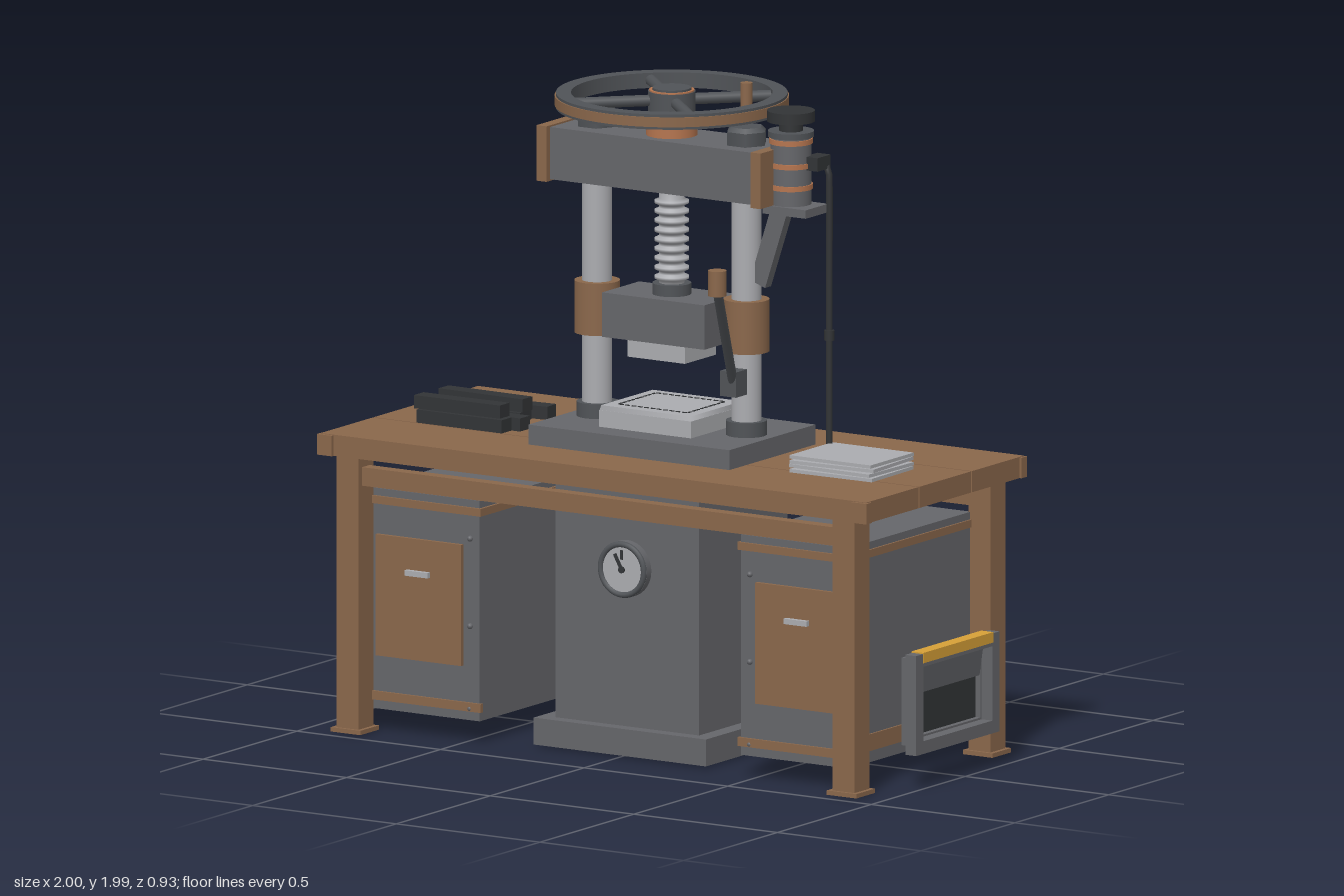
import * as THREE from 'three';

const mat = (name, color) => Object.assign(new THREE.MeshStandardMaterial({ color }), { name });
const CZ = 0.033; // depth of the press axis

export function createModel() {
  const wood = mat('wood', 0x8a674b), iron = mat('iron', 0x65666a), darkIron = mat('darkIron', 0x505357),
    steel = mat('steel', 0xabacb0), black = mat('black', 0x323436), copper = mat('copper', 0xb5754f),
    green = mat('green', 0x5fac66), yellow = mat('yellow', 0xd6a037);
  const root = new THREE.Group();
  root.name = 'workbenchPress';

  const add = (name, geo, m, parent = root) => {
    const mesh = new THREE.Mesh(geo, m);
    mesh.name = name;
    parent.add(mesh);
    return mesh;
  };
  const box = (name, m, x0, x1, y0, y1, z0, z1, parent) => {
    const b = add(name, new THREE.BoxGeometry(x1 - x0, y1 - y0, z1 - z0), m, parent);
    b.position.set((x0 + x1) / 2, (y0 + y1) / 2, (z0 + z1) / 2);
    return b;
  };
  const cyl = (name, m, r, x, y0, y1, z = CZ, sides = 28, rTop = r) => {
    const c = add(name, new THREE.CylinderGeometry(rTop, r, y1 - y0, sides), m);
    c.position.set(x, (y0 + y1) / 2, z);
    return c;
  };
  const rod = (name, m, a, b, r) =>
    add(name, new THREE.TubeGeometry(new THREE.LineCurve3(new THREE.Vector3(...a), new THREE.Vector3(...b)), 1, r, 12), m);

  // Table top: three planks with narrow seams, and corner caps
  [[-0.39, -0.113], [-0.107, 0.167], [0.173, 0.45]].forEach(([a, b]) =>
    box('tablePlank', wood, -0.95, 0.95, 0.82, 0.883, a, b));
  for (const s of [-1, 1]) {
    const side = (name, m, a, b, ...r) => box(name, m, Math.min(s * a, s * b), Math.max(s * a, s * b), ...r);
    for (const [z0, z1] of [[0.43, 0.46], [-0.396, -0.366]]) side('cornerCap', wood, 0.905, 0.957, 0.82, 0.881, z0, z1);

    // Legs with foot plates
    for (const z of [0.4, -0.325]) {
      side('leg', wood, 0.825, 0.902, 0.01, 0.82, z - 0.04, z + 0.04);
      side('footPlate', wood, 0.812, 0.915, 0, 0.013, z - 0.05, z + 0.05);
    }

    // Cabinet with trims, door, handle and rivets
    side('cabinet', iron, 0.455, 0.83, 0.065, 0.72, -0.29, 0.36);
    side('cabinetTopTrim', wood, 0.447, 0.836, 0.675, 0.698, -0.294, 0.368);
    side('cabinetFrontTrim', wood, 0.447, 0.836, 0.092, 0.118, 0.355, 0.368);
    side('cabinetSideTrim', wood, 0.825, 0.836, 0.1, 0.15, -0.29, 0.36);
    side('cabinetDoor', wood, 0.512, 0.81, 0.225, 0.585, 0.36, 0.372);
    side('doorHandle', steel, 0.62, 0.7, 0.476, 0.492, 0.37, 0.387);
    for (const y of [0.1, 0.345, 0.605]) {
      const rivet = add('rivet', new THREE.SphereGeometry(0.009, 10, 6), iron);
      rivet.position.set(s * 0.487, y, 0.362);
    }
  }
  for (const z of [0.4, -0.325]) box('apronRail', wood, -0.825, 0.825, 0.735, 0.79, z - 0.02, z + 0.02);

  // Pedestal below the table
  box('pedestalBase', iron, -0.3, 0.3, 0.005, 0.085, -0.245, 0.31);
  box('pedestal', iron, -0.25, 0.25, 0.085, 0.79, -0.2, 0.27);
  box('pedestalCap', wood, -0.268, 0.268, 0.79, 0.82, -0.213, 0.285);

  // Pressure gauge
  const gauge = new THREE.Group();
  gauge.name = 'gauge';
  gauge.position.set(0, 0.555, 0.27);
  root.add(gauge);
  const disc = (name, m, r, z0, z1) => {
    const d = add(name, new THREE.CylinderGeometry(r, r, z1 - z0, 32).rotateX(Math.PI / 2), m, gauge);
    d.position.z = (z0 + z1) / 2;
  };
  disc('gaugeBody', iron, 0.084, 0, 0.024);
  add('gaugeRim', new THREE.TorusGeometry(0.075, 0.009, 10, 36), darkIron, gauge).position.z = 0.026;
  disc('gaugeFace', steel, 0.068, 0.02, 0.028);
  disc('gaugePin', black, 0.01, 0.026, 0.034);
  const hand = box('gaugeHand', black, -0.005, 0.005, -0.005, 0.052, 0.028, 0.032, gauge);
  hand.rotation.z = 0.5;
  hand.position.set(-0.011, 0.02, 0.03);
  box('gaugeTick', black, -0.006, 0.004, 0.03, 0.058, 0.028, 0.031, gauge);

  // Wall bins: open frame, tray behind it, sloped flap and coloured strip
  const frameGeo = (w, y0, y1, t, depth) => {
    const rect = (C, a, b, c) => new C([[-a, b], [a, b], [a, c], [-a, c]].map(p => new THREE.Vector2(...p)));
    const shape = rect(THREE.Shape, w, y0, y1);
    shape.holes.push(rect(THREE.Path, w - t, y0 + t, y1 - t));
    return new THREE.ExtrudeGeometry(shape, { depth, bevelEnabled: false });
  };
  const bin = (x, z, turn, strip, tray) => {
    const g = new THREE.Group();
    g.name = 'bin';
    g.position.set(x, 0, z);
    g.rotation.y = turn;
    root.add(g);
    add('binFrame', frameGeo(0.222, 0.103, 0.4, 0.038, 0.038), iron, g).position.z = -0.038;
    add('binTray', frameGeo(0.2, 0.125, 0.385, 0.022, tray), iron, g).position.z = -0.038 - tray;
    box('binBack', black, -0.18, 0.18, 0.145, 0.365, -0.036 - tray, -0.028 - tray, g);
    const flap = box('binFlap', iron, -0.168, 0.168, 0.275, 0.362, -0.034, -0.028, g);
    flap.rotation.x = 0.15;
    box('binStrip', strip, -0.186, 0.186, 0.373, 0.404, -0.04, 0.002, g);
  };
  bin(0.998, 0.036, Math.PI / 2, yellow, 0.027);
  bin(-0.998, 0.036, -Math.PI / 2, green, 0.027);
  bin(0.498, -0.468, Math.PI, green, 0.065);

  // Press bed with a dashed border on top
  box('pressBase', iron, -0.35, 0.35, 0.883, 0.942, -0.197, 0.262);
  box('bedBlock', steel, -0.16, 0.16, 0.942, 0.992, -0.107, 0.175);
  const bevel = add('bedBevel', new THREE.CylinderGeometry(0.98 * Math.SQRT1_2, Math.SQRT1_2, 0.014, 4).rotateY(Math.PI / 4), steel);
  bevel.scale.set(0.318, 1, 0.28);
  bevel.position.set(0, 0.999, 0.034);
  for (let i = -5; i <= 5; i++) for (const s of [-1, 1]) {
    box('bedDashLong', black, i * 0.022 - 0.007, i * 0.022 + 0.007, 1.004, 1.008, 0.034 + s * 0.1 - 0.003, 0.034 + s * 0.1 + 0.003);
    if (Math.abs(i) < 5) box('bedDashShort', black, s * 0.12 - 0.003, s * 0.12 + 0.003, 1.004, 1.008, 0.027 + i * 0.022, 0.041 + i * 0.022);
  }

  // Columns, sleeves, nuts and upper beam
  for (const s of [-1, 1]) {
    const x = s * 0.26;
    cyl('column', steel, 0.044, x, 0.94, 1.66);
    cyl('columnCollar', darkIron, 0.06, x, 0.942, 0.985);
    cyl('columnSleeve', wood, 0.067, x, 1.19, 1.345);
    cyl('columnNut', darkIron, 0.063, x, 1.8, 1.845, CZ, 6).geometry.rotateY(Math.PI / 6);
    cyl('columnNutTop', darkIron, 0.063, x, 1.845, 1.858, CZ, 6, 0.05).geometry.rotateY(Math.PI / 6);
    box('beamEnd', wood, s * 0.3725 - 0.0175, s * 0.3725 + 0.0175, 1.645, 1.81, -0.088, 0.157);
  }
  box('upperBeam', iron, -0.356, 0.356, 1.65, 1.805, -0.07, 0.138);

  // Ram and threaded screw
  box('ram', iron, -0.178, 0.178, 1.2, 1.332, -0.065, 0.132);
  box('ramPlate', steel, -0.1, 0.1, 1.147, 1.2, -0.05, 0.116);
  cyl('screwCollar', darkIron, 0.057, 0, 1.332, 1.365);
  const thread = [new THREE.Vector2(0.037, 1.36)];
  for (let i = 0; i < 9; i++) {
    const y = 1.372 + i * 0.028;
    thread.push(...[[0.037, 0], [0.051, 0.006], [0.051, 0.014], [0.037, 0.02]].map(([r, d]) => new THREE.Vector2(r, y + d)));
  }
  thread.push(new THREE.Vector2(0.037, 1.66));
  add('screw', new THREE.LatheGeometry(thread, 28), steel).position.z = CZ;
  cyl('screwBushing', copper, 0.075, 0, 1.8, 1.868);

  // Handwheel
  const ring = (name, m, r0, r1, y0, y1) =>
    add(name, new THREE.LatheGeometry([[r0, y0], [r1, y0], [r1, y0], [r1, y1], [r1, y1], [r0, y1], [r0, y1], [r0, y0]]
      .map(p => new THREE.Vector2(...p)), 56), m).position.z = CZ;
  ring('wheelRim', darkIron, 0.294, 0.338, 1.885, 1.93);
  ring('wheelBand', wood, 0.33, 0.342, 1.893, 1.922);
  for (let i = 0; i < 4; i++) {
    const a = Math.PI / 4 + i * Math.PI / 2, c = Math.cos(a), s = Math.sin(a);
    rod('wheelSpoke', darkIron, [c * 0.05, 1.908, CZ + s * 0.05], [c * 0.305, 1.908, CZ + s * 0.305], 0.017);
  }
  cyl('wheelHub', darkIron, 0.07, 0, 1.868, 1.935);
  ring('hubRing', copper, 0.058, 0.066, 1.93, 1.939);
  cyl('hubCap', darkIron, 0.057, 0, 1.93, 1.945);
  cyl('wheelKnob', wood, 0.018, 0.26, 1.9, 1.987, CZ, 16);

  // Motor on its bracket
  const mx = 0.415;
  cyl('motorBody', iron, 0.06, mx, 1.645, 1.86);
  for (const y of [1.69, 1.755, 1.825]) cyl('motorBand', copper, 0.064, mx, y, y + 0.015);
  cyl('motorRim', darkIron, 0.068, mx, 1.845, 1.862);
  cyl('motorNeck', black, 0.035, mx, 1.86, 1.893);
  cyl('motorPulley', black, 0.07, mx, 1.89, 1.922);
  box('motorBracket', iron, 0.36, 0.51, 1.62, 1.645, -0.02, 0.1);
  const strut = box('bracketStrut', iron, -0.028, 0.028, -0.12, 0.12, 0.018, 0.05);
  strut.position.x = 0.347;
  strut.position.y = 1.51;
  strut.rotation.z = -0.32;

  // Power cable
  box('cableBox', black, 0.465, 0.512, 1.75, 1.79, -0.03, 0.04);
  const path = new THREE.CatmullRomCurve3([[0.49, 1.77, -0.02], [0.505, 1.755, -0.02], [0.514, 1.72, -0.02],
    [0.514, 1.4, -0.02], [0.514, 0.89, -0.02]].map(p => new THREE.Vector3(...p)), false, 'catmullrom', 0.2);
  add('cable', new THREE.TubeGeometry(path, 40, 0.01, 10), black);
  cyl('cableClip', black, 0.015, 0.514, 1.24, 1.27, -0.02, 12);
  cyl('cableFoot', black, 0.02, 0.514, 0.883, 0.905, -0.02, 12);

  // Hand lever
  box('leverPivot', darkIron, 0.235, 0.29, 1.07, 1.145, 0.075, 0.135);
  rod('leverRod', darkIron, [0.268, 1.105, 0.115], [0.358, 1.43, 0.338], 0.014);
  cyl('leverKnob', wood, 0.027, 0.358, 1.415, 1.49, 0.338, 18);

  // Stack of metal sheets
  [0.02, -0.03, 0.05, 0].forEach((turn, i) => {
    const sheet = box('sheet', steel, 0.515, 0.798, 0.884 + i * 0.0135, 0.894 + i * 0.0135, -0.035, 0.195);
    sheet.rotation.y = turn;
  });

  // Pile of dark bars
  [[-0.65, -0.085, 0, 0.07], [-0.695, -0.035, 0, -0.03], [-0.66, 0.015, 1, -0.02],
    [-0.62, 0.09, 0, -0.02], [-0.665, 0.135, 1, 0.02], [-0.665, 0.03, 0, 0.03], [-0.65, 0.145, 0, 0]].forEach(([x, z, layer, turn]) => {
    const y = 0.884 + layer * 0.04;
    box('bar', black, x - 0.148, x + 0.148, y, y + 0.039, z - 0.026, z + 0.026).rotation.y = turn;
  });
  return root;
}
